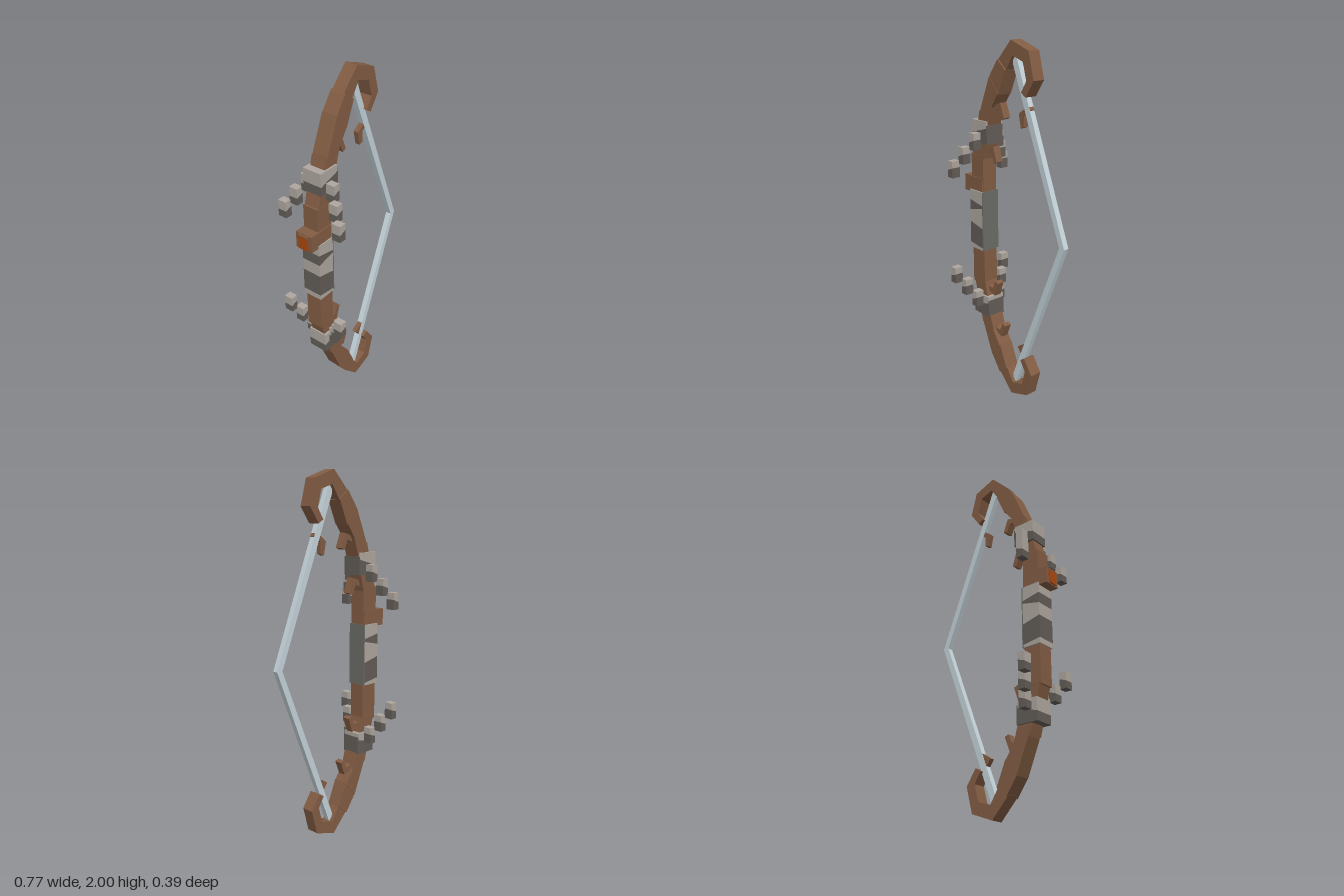
import * as THREE from 'three';

const material = (name, color) => {
  const m = new THREE.MeshStandardMaterial({ color });
  m.name = name;
  return m;
};

export function createModel() {
  const bow = new THREE.Group();
  bow.name = 'bow';
  const wood = material('wood', 0x825c43);
  const stoneLight = material('light stone', 0xaea69e);
  const stoneDark = material('dark stone', 0x625c57);
  const stoneGrey = material('grey stone', 0x6b6b67);
  const cord = material('cord', 0xc4d3d9);
  const ember = material('ember', 0xa8480f);

  // Flat outline in x/y, extruded to +-halfDepth in z
  function slab(name, mat, points, halfDepth, z = 0) {
    const shape = new THREE.Shape(points.map(([x, y]) => new THREE.Vector2(x, y)));
    const geo = new THREE.ExtrudeGeometry(shape, { depth: halfDepth * 2, bevelEnabled: false });
    geo.translate(0, 0, z - halfDepth);
    const mesh = new THREE.Mesh(geo, mat);
    mesh.name = name;
    bow.add(mesh);
  }
  const rect = (x0, y0, x1, y1) => [[x0, y0], [x1, y0], [x1, y1], [x0, y1]];
  const flip = (points) => points.map(([x, y]) => [x, 2 - y]);
  function mirrored(name, mat, points, halfDepth) {
    slab('upper' + name, mat, points, halfDepth);
    slab('lower' + name, mat, flip(points), halfDepth);
  }

  // Stone block of alternating bands; cuts are [leftY, rightY] from top to bottom
  function banded(name, x0, x1, cuts, halfDepth, z = 0) {
    for (let i = 0; i < cuts.length - 1; i++) {
      const [a, b] = [cuts[i], cuts[i + 1]];
      slab(name, i % 2 ? stoneDark : stoneLight,
        [[x0, a[0]], [x1, a[1]], [x1, b[1]], [x0, b[0]]], halfDepth, z);
    }
  }

  // Wooden riser and curved limbs
  slab('riser', wood, rect(-0.32, 0.62, -0.22, 1.38), 0.045);
  mirrored('LimbRoot', wood, [[-0.315, 1.36], [-0.22, 1.36], [-0.17, 1.57], [-0.245, 1.625]], 0.043);
  mirrored('LimbMiddle', wood, [[-0.255, 1.56], [-0.175, 1.55], [-0.145, 1.65], [-0.09, 1.73], [-0.16, 1.81], [-0.235, 1.63]], 0.045);
  mirrored('LimbOuter', wood, [[-0.16, 1.81], [-0.16, 1.77], [-0.09, 1.72], [-0.035, 1.85], [-0.095, 1.9]], 0.043);

  // Limb tips curling into hooks
  mirrored('Hook', wood, [
    [-0.105, 1.89], [0.0, 2.0], [0.13, 1.955], [0.168, 1.815], [0.11, 1.73],
    [0.077, 1.75], [0.115, 1.81], [0.09, 1.9], [0.012, 1.925], [-0.04, 1.845],
  ], 0.035);

  // Small bent twigs
  mirrored('OuterTwig', wood, [[-0.16, 1.655], [-0.1, 1.678], [-0.07, 1.6], [-0.093, 1.59], [-0.115, 1.64], [-0.17, 1.625]], 0.022);
  mirrored('InnerTwig', wood, [[-0.23, 1.415], [-0.16, 1.437], [-0.133, 1.355], [-0.156, 1.345], [-0.177, 1.395], [-0.23, 1.385]], 0.022);
  slab('upperStringTwig', wood, [[0.037, 1.638], [0.108, 1.69], [0.125, 1.665], [0.075, 1.635], [0.076, 1.575], [0.052, 1.565]], 0.0135);
  slab('lowerStringTwig', wood, [[0.03, 0.31], [0.09, 0.348], [0.115, 0.325], [0.055, 0.275]], 0.0135);

  // Bowstring drawn to a point
  mirrored('String', cord, [[-0.005, 1.91], [0.018, 1.925], [0.382, 1], [0.347, 1], [-0.005, 1.88]], 0.0155);

  // Arrow rest with a glowing end plate under a wooden lip
  slab('arrowRest', wood, rect(-0.376, 1.16, -0.225, 1.252), 0.05);
  slab('arrowRestEmber', ember, rect(-0.385, 1.165, -0.376, 1.238), 0.028);
  slab('arrowRestLip', wood, rect(-0.385, 1.238, -0.376, 1.247), 0.028);

  // Stone grip, plain on the side facing the string
  banded('grip', -0.328, -0.222, [
    [1.175, 1.175], [1.115, 1.095], [1.055, 1.08], [0.985, 0.96], [0.86, 0.845], [0.83, 0.83],
  ], 0.055);
  slab('gripInnerPlate', stoneGrey, rect(-0.222, 0.83, -0.216, 1.175), 0.055);

  // Stone collars with stepped wings on both faces
  for (const [name, collarY, wingY, step] of [['upper', 1.45, 1.415, -0.075], ['lower', 0.432, 0.495, 0.075]]) {
    banded(name + 'Collar', -0.3, -0.178, [
      [collarY + 0.122, collarY + 0.122], [collarY + 0.05, collarY + 0.085], [collarY, collarY],
    ], 0.055);
    slab(name + 'CollarInnerPlate', stoneDark, rect(-0.178, collarY, -0.172, collarY + 0.1), 0.055);
    for (const side of [1, -1]) {
      for (let i = 0; i < 3; i++) {
        const x = -0.265 - i * 0.036, y = wingY + i * step;
        banded(name + 'WingBlock', x, x + 0.041,
          [[y + 0.092, y + 0.092], [y + 0.04, y + 0.055], [y, y]],
          0.025, side * (0.079 + i * 0.046));
      }
    }
  }
  return bow;
}
